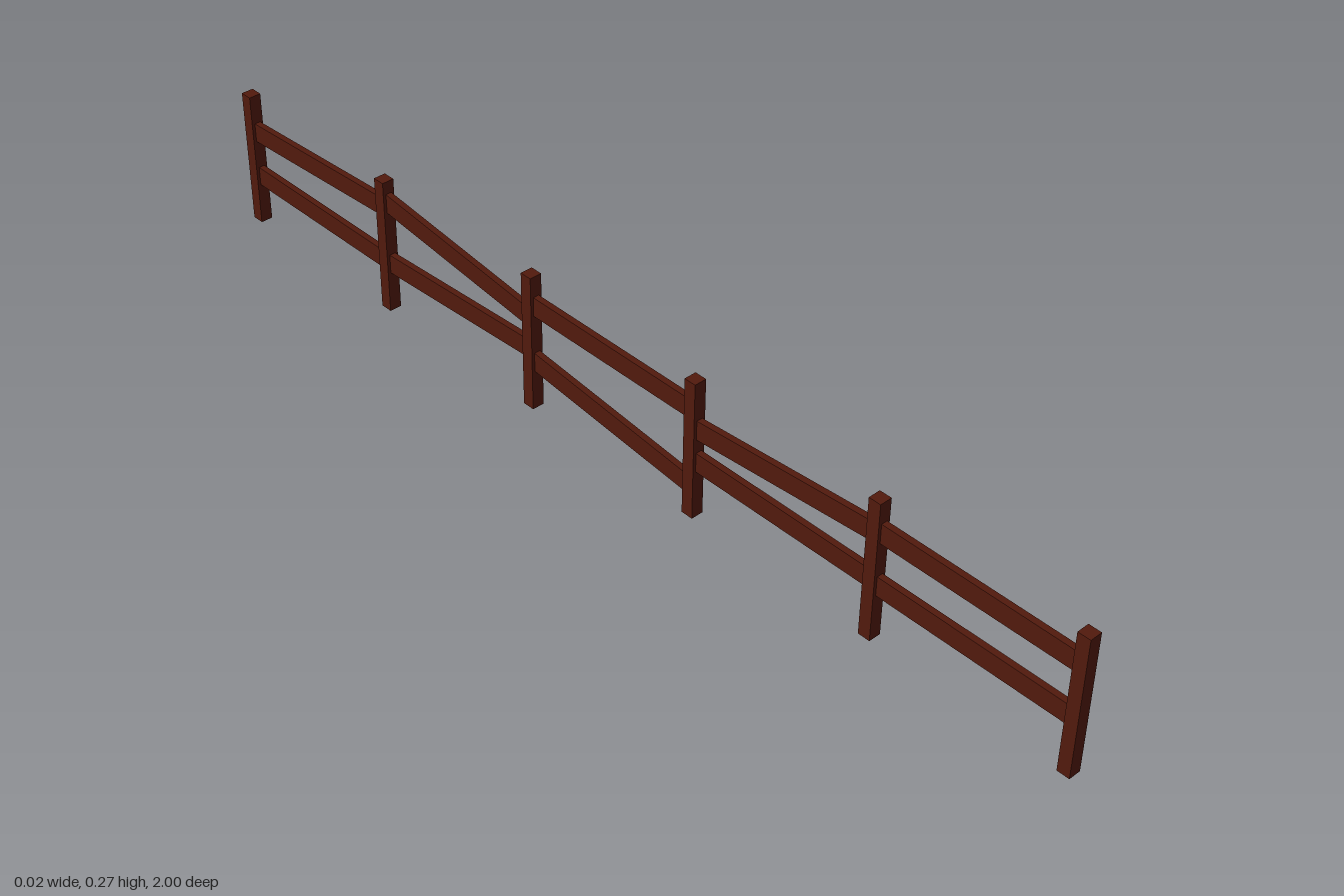
import * as THREE from 'three';

export function createModel() {
  const group = new THREE.Group();
  group.name = 'fence';
  const wood = new THREE.MeshStandardMaterial({ color: 0x521a0d, flatShading: true });

  const postHeight = 0.273, postWidth = 0.024, spacing = 0.395, firstZ = 0.988;

  function addBox(name, w, h, d, y, z, tilt = 0) {
    const mesh = new THREE.Mesh(new THREE.BoxGeometry(w, h, d), wood);
    mesh.name = name;
    mesh.position.set(0, y, z);
    mesh.rotation.x = tilt;
    group.add(mesh);
  }

  // Six square posts in a row along z
  for (let i = 0; i < 6; i++) {
    addBox('post' + (i + 1), postWidth, postHeight, postWidth, postHeight / 2, firstZ - i * spacing);
  }

  // Rail heights at the two ends of each bay, running from +z to -z
  const bays = [
    { upper: [0.213, 0.213], lower: [0.109, 0.109] },
    { upper: [0.207, 0.179], lower: [0.114, 0.114] },
    { upper: [0.213, 0.213], lower: [0.059, 0.098] },
    { upper: [0.185, 0.229], lower: [0.118, 0.1] },
    { upper: [0.215, 0.196], lower: [0.101, 0.101] },
  ];
  bays.forEach((bay, i) => {
    const z = firstZ - (i + 0.5) * spacing;
    for (const side of ['upper', 'lower']) {
      const [a, b] = bay[side];
      addBox(side + 'Rail' + (i + 1), 0.012, 0.038, 0.382, (a + b) / 2, z, Math.atan2(b - a, 0.38));
    }
  });

  return group;
}
